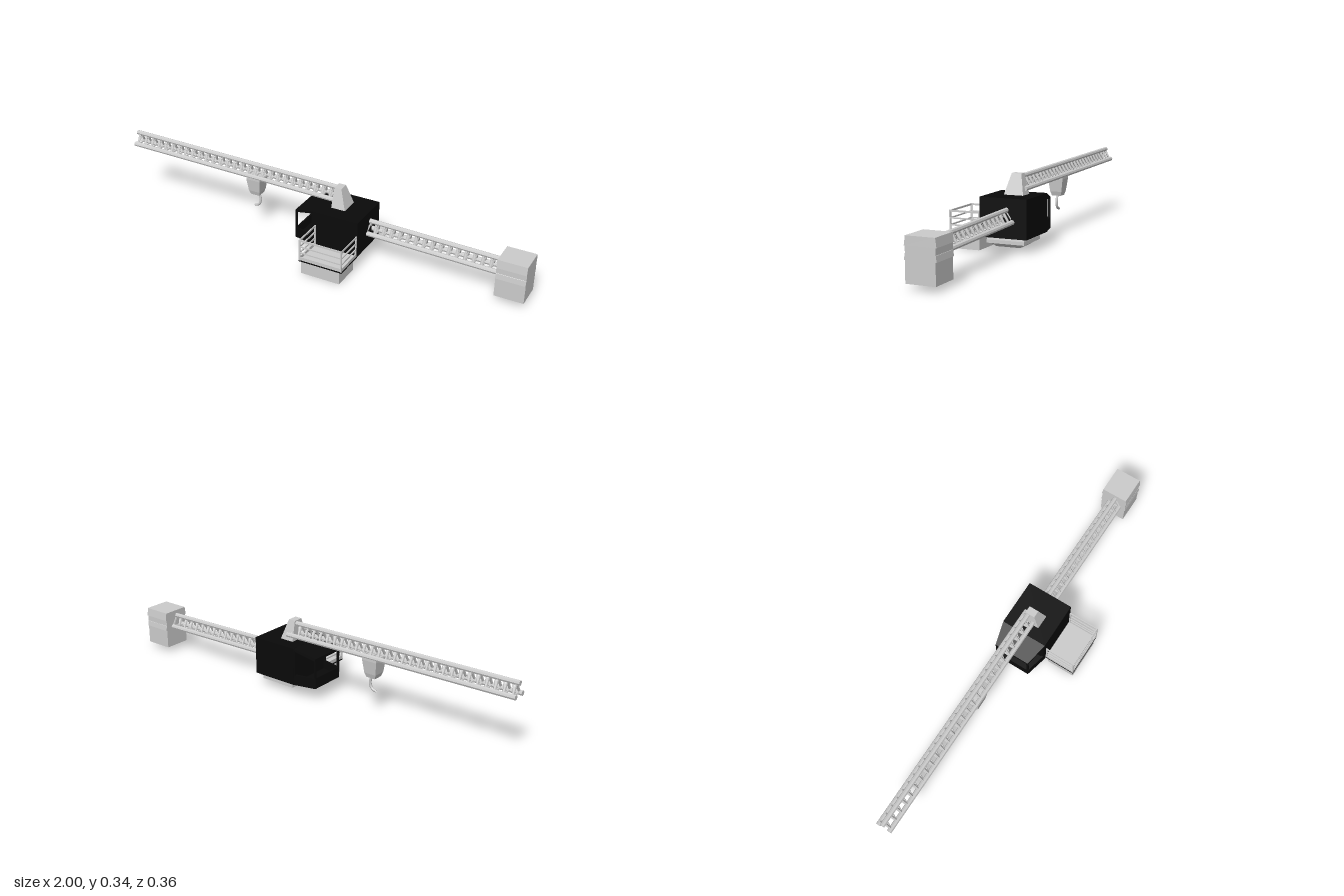
import * as THREE from 'three';
import { mergeGeometries } from 'three/addons/utils/BufferGeometryUtils.js';

const grey = new THREE.MeshStandardMaterial({ color: 0xcccccc, flatShading: true });
const black = new THREE.MeshStandardMaterial({ color: 0x0a0a0a, flatShading: true });
const MID = -0.088; // z of the boom axis

// Rectangular section at height y: four corners, anticlockwise from above
const rect = (y, x0, x1, z0, z1) => [[x0, y, z1], [x1, y, z1], [x1, y, z0], [x0, y, z0]];

// Closed solid through a stack of four-cornered sections, bottom to top
function loft(...sections) {
  const pos = [];
  const quad = (a, b, c, d) => pos.push(...a, ...b, ...c, ...a, ...c, ...d);
  for (let s = 0; s < sections.length - 1; s++) {
    const lo = sections[s], hi = sections[s + 1];
    for (let i = 0; i < 4; i++) quad(lo[i], lo[(i + 1) % 4], hi[(i + 1) % 4], hi[i]);
  }
  const b = sections[0], t = sections[sections.length - 1];
  quad(b[3], b[2], b[1], b[0]);
  quad(t[0], t[1], t[2], t[3]);
  const g = new THREE.BufferGeometry();
  g.setAttribute('position', new THREE.Float32BufferAttribute(pos, 3));
  g.computeVertexNormals();
  return g;
}

const box = (x0, x1, y0, y1, z0, z1) => loft(rect(y0, x0, x1, z0, z1), rect(y1, x0, x1, z0, z1));

// Round bar between two points
function bar(a, b, r, sides = 8) {
  const p = new THREE.Vector3(...a), q = new THREE.Vector3(...b);
  const d = q.clone().sub(p);
  const g = new THREE.CylinderGeometry(r, r, d.length(), sides);
  g.applyQuaternion(new THREE.Quaternion().setFromUnitVectors(new THREE.Vector3(0, 1, 0), d.normalize()));
  g.translate(...p.add(q).multiplyScalar(0.5).toArray());
  return g;
}

function add(group, name, geos, material = grey) {
  const list = [].concat(geos);
  const m = new THREE.Mesh(list.length > 1 ? mergeGeometries(list) : list[0], material);
  m.name = name;
  group.add(m);
  return m;
}

// Triangular lattice boom: one chord on top, two below
function lattice(name, xA, xB, yA, yB, bays) {
  const g = new THREE.Group();
  g.name = name;
  const at = (t, dy, dz) => [xA + (xB - xA) * t, yA + (yB - yA) * t + dy, MID + dz];
  const top = t => at(t, 0.051, 0);
  const low = (t, s) => at(t, 0, s * 0.027);
  add(g, 'chords', [
    bar(top(0), top(1), 0.011),
    ...[-1, 1].map(s => bar(low(0, s), low(1, s), 0.011)),
  ]);
  const rungs = [];
  for (let i = 0; i < bays; i++) {
    const t = (i + 0.4) / bays, n = (i + 0.75) / bays;
    for (const s of [-1, 1]) {
      rungs.push(bar(low(t, s), top(t), 0.0055, 5));
      rungs.push(bar(low(t, s), top(n), 0.0035, 4));
    }
    rungs.push(bar(low(t, -1), low(t, 1), 0.005, 5));
  }
  add(g, 'rungs', rungs);
  return g;
}

function makeCab() {
  const g = new THREE.Group();
  g.name = 'cab';
  add(g, 'machineryHouse', box(0.04, 0.26, 0.063, 0.235, -0.181, 0.037), black);

  // Tapered nose: corners at the house (h) and at the window end (n)
  const nose = (yH, yN) => [[-0.062, yN, 0.012], [0.042, yH, 0.037], [0.042, yH, -0.181], [-0.062, yN, -0.157]];
  add(g, 'cabRoof', loft(nose(0.224, 0.192), nose(0.235, 0.203)), black);
  add(g, 'cabFloor', loft(nose(0.063, 0.063), nose(0.072, 0.072)), black);

  // Lower panels and window posts, mirrored about the cab axis
  const zc = -0.072;
  const frame = [];
  for (const s of [-1, 1]) {
    const side = y => {
      const a = [[-0.062, y, zc + s * 0.0845], [0.042, y, zc + s * 0.109],
        [0.042, y, zc + s * 0.101], [-0.062, y, zc + s * 0.0765]];
      return s > 0 ? a : a.reverse();
    };
    frame.push(loft(side(0.07), side(0.112)));
    const z0 = zc + s * 0.0805, z1 = zc + s * 0.104;
    frame.push(box(-0.062, -0.054, 0.07, 0.198, z0 - 0.004, z0 + 0.004));
    frame.push(box(0.032, 0.042, 0.07, 0.226, z1 - 0.004, z1 + 0.004));
  }
  frame.push(box(-0.062, -0.054, 0.07, 0.112, zc - 0.08, zc + 0.08));
  add(g, 'windowFrame', frame, black);
  return g;
}

function makePlatform() {
  const g = new THREE.Group();
  g.name = 'platform';
  add(g, 'platformBase', box(0.06, 0.247, 0, 0.061, 0.045, 0.178));
  add(g, 'platformRim', box(0.05, 0.26, 0.061, 0.066, 0.035, 0.183), black);
  add(g, 'platformFloor', box(0.054, 0.256, 0.065, 0.069, 0.037, 0.179));
  const parts = [];
  // Kick board and three rails on each open side
  for (const [y0, y1] of [[0.067, 0.083], [0.101, 0.107], [0.131, 0.137], [0.161, 0.169]]) {
    parts.push(box(0.051, 0.259, y0, y1, 0.177, 0.182));
    for (const x of [0.051, 0.254]) parts.push(box(x, x + 0.005, y0, y1, 0.037, 0.182));
  }
  for (const x of [0.051, 0.253]) {
    for (const z of [0.037, 0.176]) parts.push(box(x, x + 0.006, 0.066, 0.169, z, z + 0.007));
  }
  add(g, 'railing', parts);
  return g;
}

function makeTrolley() {
  const g = new THREE.Group();
  g.name = 'trolley';
  const sec = (y, wx, wz) => rect(y, -0.323 - wx, -0.323 + wx, MID - wz, MID + wz);
  add(g, 'trolleyBody', loft(sec(0.172, 0.022, 0.022), sec(0.192, 0.029, 0.028),
    sec(0.252, 0.036, 0.036), sec(0.266, 0.036, 0.036)));
  const path = [[-0.315, 0.175], [-0.308, 0.155], [-0.306, 0.138], [-0.311, 0.121], [-0.322, 0.111], [-0.337, 0.107]];
  const curve = new THREE.CatmullRomCurve3(path.map(([x, y]) => new THREE.Vector3(x, y, MID)));
  const hook = add(g, 'hook', new THREE.TubeGeometry(curve, 16, 0.006, 8));
  hook.material = new THREE.MeshStandardMaterial({ color: 0xcccccc, side: THREE.DoubleSide });
  return g;
}

export function createModel() {
  const model = new THREE.Group();
  model.name = 'craneTop';
  model.add(makeCab(), makePlatform(), makeTrolley());
  model.add(lattice('jib', -1, 0.13, 0.279, 0.26, 29));
  model.add(lattice('counterJib', 0.24, 0.89, 0.135, 0.122, 17));

  // Tapered peak that carries the jib
  add(model, 'peak', loft(rect(0.233, 0.095, 0.163, -0.122, -0.031), rect(0.326, 0.098, 0.132, -0.1, -0.055)));

  // Counterweight block with two flared bands
  const cw = (y, h) => rect(y, 0.867, 0.998, -0.094 - h, -0.094 + h);
  add(model, 'counterweight', loft(cw(0.024, 0.062), cw(0.11, 0.062), cw(0.111, 0.066), cw(0.135, 0.063),
    cw(0.136, 0.062), cw(0.162, 0.062), cw(0.163, 0.066), cw(0.2, 0.061)));

  // Turntable under the house
  const tt = (y, h) => rect(y, 0.152 - h, 0.152 + h, -0.073 - h, -0.073 + h);
  add(model, 'turntable', loft(tt(0.017, 0.056), tt(0.034, 0.074), tt(0.035, 0.087), tt(0.05, 0.087), tt(0.065, 0.084)));
  return model;
}
